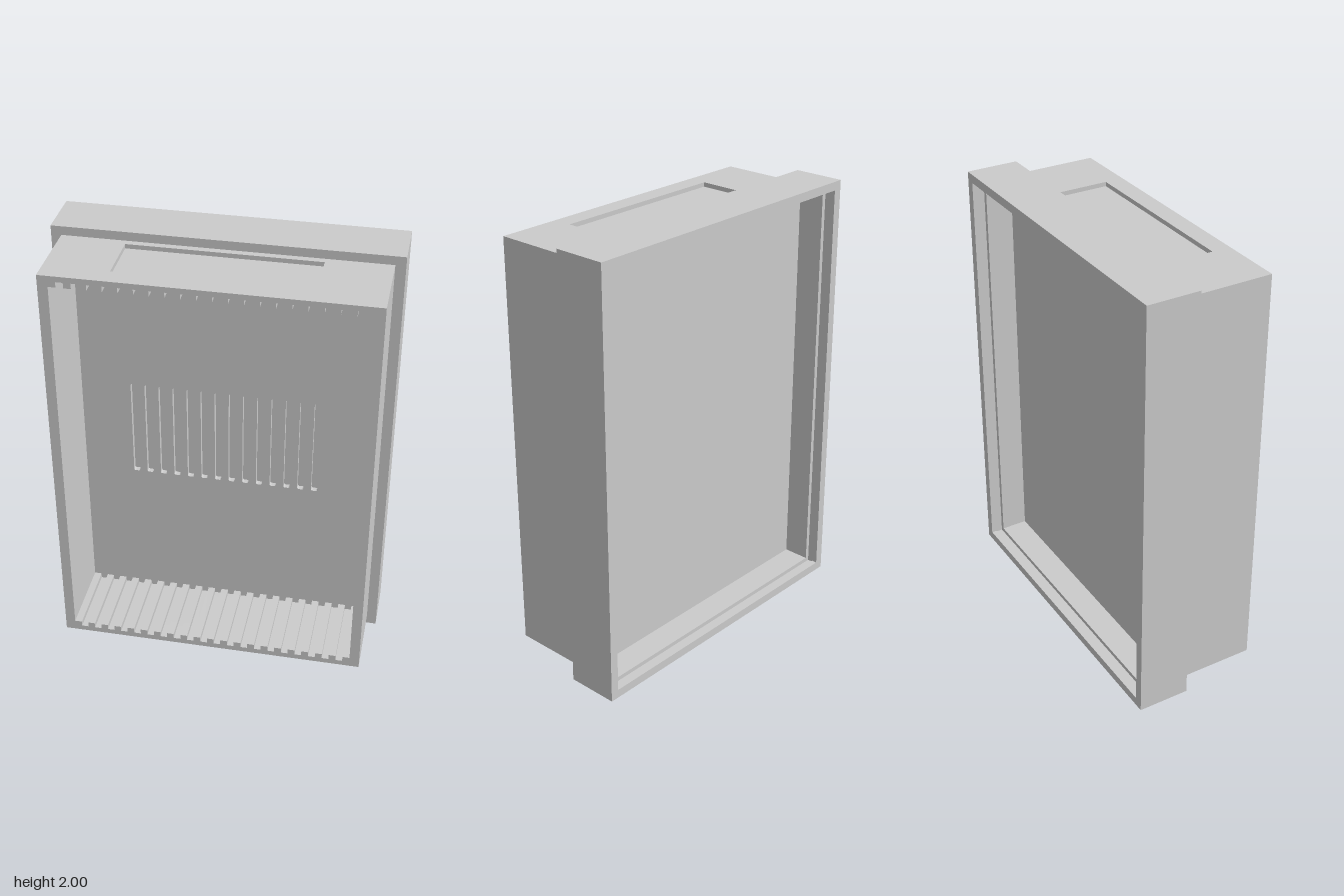
import * as THREE from 'three';

const PITCH = 0.0643, GROOVE = 0.032;

// Outline from corner points
const outline = (pts, Type = THREE.Shape) => new Type(pts.map(([x, y]) => new THREE.Vector2(x, y)));
const rect = (w, y0, y1, Type) => outline([[-w, y0], [w, y0], [w, y1], [-w, y1]], Type);

// Cavity outline with a comb of grooves along floor and ceiling
function groovedCavity() {
  const w = 0.66, y0 = 0.095, y1 = 1.91, d = 0.025, n = 20;
  const edge = (y, dy) => {
    const pts = [];
    for (let i = 0; i < n; i++) {
      const x = (i - (n - 1) / 2) * PITCH, h = GROOVE / 2;
      pts.push([x - h, y], [x - h, y + dy], [x + h, y + dy], [x + h, y]);
    }
    return pts;
  };
  return outline([[-w, y0], ...edge(y0, -d), [w, y0],
    [w, y1], ...edge(y1, d).reverse(), [-w, y1]], THREE.Path);
}

// Upright slot with rounded corners
function slotHole(cx) {
  const w = 0.015, r = 0.009, y0 = 0.765, y1 = 1.245;
  const p = new THREE.Path();
  p.moveTo(cx - w + r, y0).lineTo(cx + w - r, y0);
  p.quadraticCurveTo(cx + w, y0, cx + w, y0 + r).lineTo(cx + w, y1 - r);
  p.quadraticCurveTo(cx + w, y1, cx + w - r, y1).lineTo(cx - w + r, y1);
  p.quadraticCurveTo(cx - w, y1, cx - w, y1 - r).lineTo(cx - w, y0 + r);
  p.quadraticCurveTo(cx - w, y0, cx - w + r, y0);
  return p;
}

export function createModel() {
  const model = new THREE.Group();
  const material = new THREE.MeshStandardMaterial({ color: 0xcccccc });

  // Slab of a holed outline between two depths
  const slab = (parent, name, shape, holes, z0, z1) => {
    shape.holes.push(...holes);
    const geo = new THREE.ExtrudeGeometry(shape, { depth: z1 - z0, bevelEnabled: false, curveSegments: 4 });
    geo.translate(0, 0, z0);
    const mesh = new THREE.Mesh(geo, material);
    mesh.name = name;
    parent.add(mesh);
  };

  // Front housing; the middle slab carries the shallow recess in its top
  const housing = new THREE.Group();
  housing.name = 'frontHousing';
  const plain = () => rect(0.705, 0.045, 1.96);
  const recessed = outline([[-0.705, 0.045], [0.705, 0.045], [0.705, 1.96], [0.42, 1.96],
    [0.42, 1.94], [-0.42, 1.94], [-0.42, 1.96], [-0.705, 1.96]]);
  slab(housing, 'housingRear', plain(), [groovedCavity()], -0.06, -0.03);
  slab(housing, 'housingTopRecess', recessed, [groovedCavity()], -0.03, 0.215);
  slab(housing, 'housingFront', plain(), [groovedCavity()], 0.215, 0.3);
  model.add(housing);

  // Dividing panel with blind vent slots on its front
  const panel = new THREE.Group();
  panel.name = 'dividingPanel';
  const slots = Array.from({ length: 14 }, (_, i) => slotHole((i - 6.5) * PITCH));
  slab(panel, 'slottedPanel', rect(0.75, 0, 2), slots, -0.085, -0.06);
  slab(panel, 'panelBacking', rect(0.75, 0, 2), [], -0.11, -0.085);
  model.add(panel);

  // Back frame with a groove running round inside its lip
  const frame = new THREE.Group();
  frame.name = 'backFrame';
  const opening = (m) => rect(0.75 - m, m, 2 - m, THREE.Path);
  slab(frame, 'frameWall', rect(0.75, 0, 2), [opening(0.04)], -0.235, -0.11);
  slab(frame, 'frameGroove', rect(0.75, 0, 2), [opening(0.02)], -0.275, -0.235);
  slab(frame, 'frameLip', rect(0.75, 0, 2), [opening(0.04)], -0.3, -0.275);
  model.add(frame);

  return model;
}
